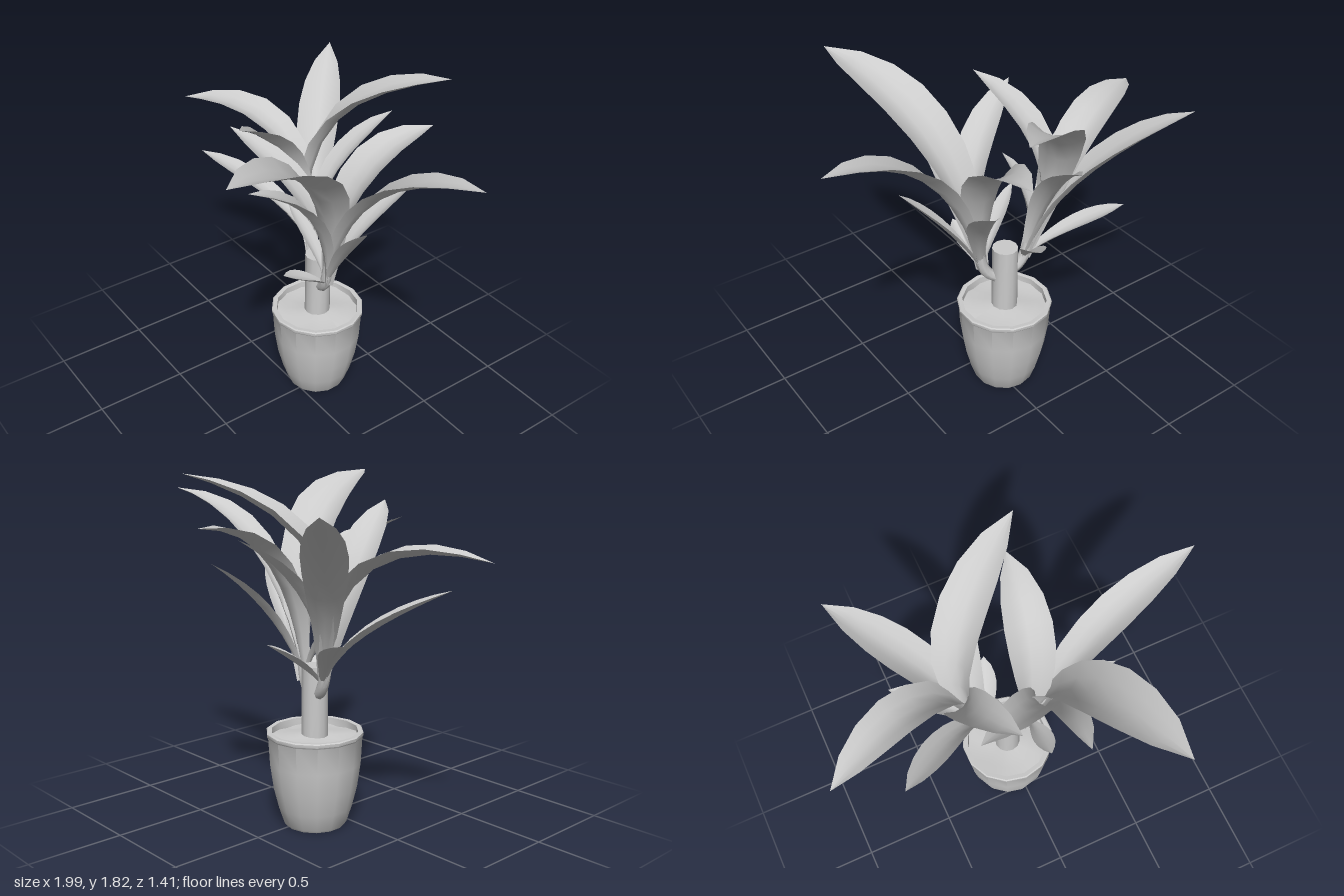
import * as THREE from 'three';
import { toCreasedNormals } from 'three/addons/utils/BufferGeometryUtils.js';

const material = new THREE.MeshStandardMaterial({ color: 0xcccccc, side: THREE.DoubleSide });
const CX = -0.04, CZ = -0.147; // pot axis
const V = (x, y, z) => new THREE.Vector3(x, y, z);

function add(parent, name, geometry) {
  const mesh = new THREE.Mesh(geometry, material);
  mesh.name = name;
  parent.add(mesh);
  return mesh;
}

// Half-width along a leaf, from stem to tip
const OUTLINE = [0.24, 0.36, 0.52, 0.7, 0.87, 0.98, 1, 0.88, 0.58, 0];

// Cupped leaf swept along an arc; the blade stays level across its heading
function leafGeometry(base, bend, tip, width) {
  const curve = new THREE.QuadraticBezierCurve3(base, bend, tip);
  const heading = tip.clone().sub(curve.getPointAt(0.6)).setY(0).normalize();
  const side = V(heading.z, 0, -heading.x);
  const rows = OUTLINE.length, cols = 5;
  const positions = [], index = [];
  for (let i = 0; i < rows; i++) {
    const t = i / (rows - 1);
    const centre = curve.getPointAt(t);
    const tangent = curve.getTangentAt(t);
    const across = side.clone().addScaledVector(tangent, -side.dot(tangent)).normalize();
    const up = tangent.clone().cross(across).normalize();
    const half = width * OUTLINE[i];
    const cup = 0.75 - 0.5 * t; // channelled stem, flatter blade
    for (let j = 0; j < cols; j++) {
      const s = (j / (cols - 1)) * 2 - 1;
      const p = centre.clone()
        .addScaledVector(across, s * half)
        .addScaledVector(up, (s * s - 0.4) * half * cup);
      positions.push(p.x, p.y, p.z);
      if (i < rows - 1 && j < cols - 1) {
        const a = i * cols + j, b = a + cols;
        index.push(a, a + 1, b, a + 1, b + 1, b);
      }
    }
  }
  const geometry = new THREE.BufferGeometry();
  geometry.setAttribute('position', new THREE.Float32BufferAttribute(positions, 3));
  geometry.setIndex(index);
  geometry.computeVertexNormals();
  return geometry;
}

// Side shoot: a short stem curving out of the trunk, with a crown of leaves
// given as [half-width, bend x y z, tip x y z]
function addShoot(model, name, base, leaves) {
  const shoot = new THREE.Group();
  shoot.name = name;
  model.add(shoot);
  const path = new THREE.QuadraticBezierCurve3(
    V(CX, base.y - 0.08, CZ), V(base.x, base.y - 0.06, base.z), V(base.x * 1.15, base.y + 0.09, base.z));
  add(shoot, 'shootStem', new THREE.TubeGeometry(path, 8, 0.03, 8));
  leaves.forEach(([width, bx, by, bz, tx, ty, tz], i) => {
    add(shoot, `leaf${i + 1}`, leafGeometry(base, V(bx, by, bz), V(tx, ty, tz), width));
  });
}

export function createModel() {
  const model = new THREE.Group();
  model.name = 'pottedPlant';

  // Tapered pot with a thin lip, open at the top
  const profile = [
    [0, 0], [0.158, 0], [0.166, 0.012], [0.195, 0.1], [0.222, 0.21], [0.24, 0.34], [0.248, 0.48],
    [0.254, 0.488], [0.254, 0.503], [0.248, 0.508], [0.226, 0.506], [0.222, 0.45],
  ].map(([x, y]) => new THREE.Vector2(x, y));
  const pot = add(model, 'pot', toCreasedNormals(new THREE.LatheGeometry(profile, 14), 0.7));
  pot.position.set(CX, 0, CZ);

  // Slightly uneven soil
  const soilGeometry = new THREE.RingGeometry(0.05, 0.232, 14, 3).rotateX(-Math.PI / 2);
  const pos = soilGeometry.attributes.position;
  for (let i = 0; i < pos.count; i++) {
    const x = pos.getX(i), z = pos.getZ(i);
    pos.setY(i, 0.012 * Math.sin(x * 17 + 1) * Math.cos(z * 14) - 0.1 * (x * x + z * z));
  }
  soilGeometry.computeVertexNormals();
  add(model, 'soil', soilGeometry).position.set(CX, 0.48, CZ);

  // Sawn-off trunk
  const trunk = add(model, 'trunk', toCreasedNormals(new THREE.CylinderGeometry(0.068, 0.07, 0.41, 12), 0.7));
  trunk.position.set(CX, 0.645, CZ);

  addShoot(model, 'leftShoot', V(0.08, 0.74, -0.11), [
    [0.15, 0.21, 1.7, -0.13, 0.46, 1.79, 0.7],
    [0.1, 0.28, 1.62, -0.1, 0.99, 1.7, -0.25],
    [0.08, 0.22, 1.38, -0.05, 0.15, 1.51, 0.4],
    [0.055, 0.23, 1.05, -0.1, 0.5, 1.31, -0.02],
    [0.12, 0.15, 1.57, -0.11, 0.21, 1.56, -0.67],
    [0.07, 0.19, 1.14, -0.18, 0.3, 1.37, -0.53],
    [0.09, 0.26, 1.37, -0.05, -0.31, 1.6, 0.2],
    [0.055, 0.09, 0.83, -0.01, 0.08, 0.905, 0.16],
    [0.045, 0.04, 0.94, -0.1, -0.16, 1.15, -0.04],
  ]);
  addShoot(model, 'rightShoot', V(-0.14, 0.77, -0.18), [
    [0.12, -0.5, 1.65, -0.21, 0.27, 1.82, -0.71],
    [0.11, -0.28, 1.36, -0.27, -0.7, 1.68, -0.71],
    [0.1, -0.42, 1.4, -0.3, -0.13, 1.67, 0.26],
    [0.11, -0.31, 1.66, -0.32, -1.0, 1.45, 0.06],
    [0.08, -0.23, 1.29, -0.22, -0.08, 1.53, -0.65],
    [0.075, -0.25, 1.06, -0.2, -0.69, 1.28, 0.15],
    [0.065, -0.25, 0.94, -0.26, -0.56, 1.08, -0.45],
    [0.06, -0.1, 0.9, -0.27, -0.03, 1.0, -0.45],
    [0.055, -0.24, 1.1, -0.2, -0.1, 1.34, -0.03],
  ]);
  return model;
}
